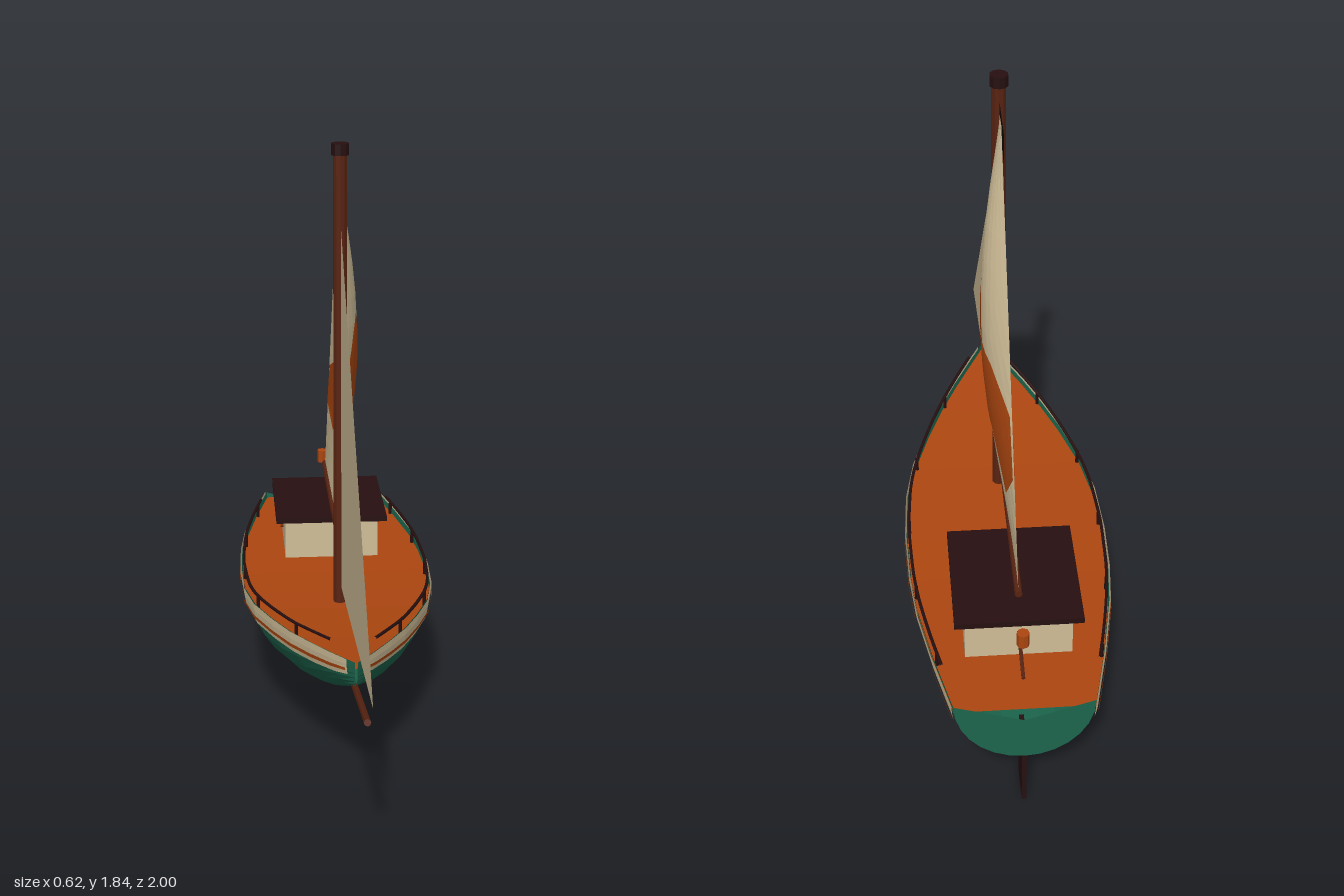
import * as THREE from 'three';

const mat = (name, color, both = false) => new THREE.MeshStandardMaterial({
  name, color, flatShading: true, side: both ? THREE.DoubleSide : THREE.FrontSide });

// Hull stations: z, half width, sheer height, keel height
const STATIONS = [
  [-1, 0.2, 0.395, 0.185], [-0.8, 0.247, 0.393, 0.17], [-0.6, 0.285, 0.392, 0.157],
  [-0.45, 0.3, 0.393, 0.152], [-0.28, 0.305, 0.396, 0.15], [-0.1, 0.296, 0.403, 0.156],
  [0.05, 0.268, 0.413, 0.172], [0.2, 0.217, 0.428, 0.21], [0.32, 0.168, 0.44, 0.257],
  [0.43, 0.114, 0.455, 0.313], [0.53, 0.06, 0.468, 0.362], [0.63, 0.004, 0.483, 0.408]];

// Straight-line interpolation through rows sorted by their first value
function sample(rows, a) {
  let i = 0;
  while (i < rows.length - 2 && a > rows[i + 1][0]) i++;
  const f = (a - rows[i][0]) / (rows[i + 1][0] - rows[i][0]);
  return rows[i].map((v, k) => v + (rows[i + 1][k] - v) * f);
}

// Half width of the hull a given depth below the sheer
function widthAt([, w, s, k], depth) {
  const c = Math.min(1, depth / (s - k));
  return w * Math.sqrt(1 - c * c);
}

// Surface from a rule: fn(i, j) gives a point [x, y, z]
function grid(nu, nv, fn) {
  const pos = [], idx = [];
  for (let i = 0; i <= nu; i++) for (let j = 0; j <= nv; j++) pos.push(...fn(i, j));
  for (let i = 0; i < nu; i++) for (let j = 0; j < nv; j++) {
    const a = i * (nv + 1) + j, b = a + nv + 1;
    idx.push(a, a + 1, b, b, a + 1, b + 1);
  }
  const g = new THREE.BufferGeometry();
  g.setAttribute('position', new THREE.Float32BufferAttribute(pos, 3));
  g.setIndex(idx);
  g.computeVertexNormals();
  return g;
}

export function createModel() {
  const root = new THREE.Group();
  root.name = 'sailboat';
  const green = mat('hull green', 0x1d664e, true);
  const cream = mat('canvas cream', 0xd0be98, true);
  const rust = mat('rust orange', 0xac4610, true);
  const wood = mat('mast brown', 0x582311);
  const dark = mat('dark wood', 0x260f10);
  const black = mat('pennant black', 0x0c0d12, true);

  const add = (name, geo, m, x = 0, y = 0, z = 0) => {
    const mesh = new THREE.Mesh(geo, m);
    mesh.name = name;
    mesh.position.set(x, y, z);
    root.add(mesh);
    return mesh;
  };
  // Round pole between two points
  const pole = (name, a, b, r, m, sides = 8) => {
    const from = new THREE.Vector3(...a), to = new THREE.Vector3(...b);
    const dir = to.clone().sub(from);
    const mesh = add(name, new THREE.CylinderGeometry(r, r, dir.length(), sides), m);
    mesh.position.copy(from).add(to).multiplyScalar(0.5);
    mesh.quaternion.setFromUnitVectors(new THREE.Vector3(0, 1, 0), dir.normalize());
    return mesh;
  };

  // Hull shell
  const last = STATIONS.length - 1;
  add('hull', grid(last, 14, (i, j) => {
    const [z, w, s, k] = STATIONS[i];
    const a = (j / 14 - 0.5) * Math.PI;
    return [w * Math.sin(a), s - (s - k) * Math.cos(a), z];
  }), green);

  // Transom with a dipped top edge
  const stern = new THREE.Shape();
  stern.moveTo(0, 0.33);
  for (let j = 0; j <= 14; j++) {
    const a = (j / 14 - 0.5) * Math.PI;
    stern.lineTo(0.2 * Math.sin(a), 0.395 - 0.21 * Math.cos(a));
  }
  add('transom', new THREE.ShapeGeometry(stern), green, 0, 0, -1);

  // Deck
  add('deck', grid(last, 1, (i, j) => {
    const st = STATIONS[i];
    return [(j * 2 - 1) * widthAt(st, 0.02), st[2] - 0.02, st[0]];
  }), rust);

  // Cream bulwark band, rust stripe and handrail on both sides
  for (const side of [1, -1]) {
    const name = side > 0 ? 'left' : 'right';
    const strip = (top, bottom, out) => grid(last, 3, (i, j) => {
      const st = sample(STATIONS, Math.min(STATIONS[i][0], 0.6));
      const d = (top + (bottom - top) * j / 3) * Math.min(1, (st[2] - st[3]) / 0.12);
      return [side * (widthAt(st, d) + out), st[2] - d, st[0]];
    });
    add(name + 'Band', strip(-0.002, 0.064, 0.005), cream);
    add(name + 'Stripe', strip(0.034, 0.046, 0.01), rust);

    const railAt = z => {
      const st = sample(STATIONS, z);
      return new THREE.Vector3(side * (st[1] - 0.008), st[2] + 0.025 + 0.02 * Math.max(0, z), z);
    };
    const pts = [];
    for (let i = 0; i <= 14; i++) pts.push(railAt(-0.86 + i * 1.37 / 14));
    add(name + 'Rail', new THREE.TubeGeometry(new THREE.CatmullRomCurve3(pts), 40, 0.005, 6), dark);
    for (const z of [0.33, 0.05, -0.24, -0.53, -0.81]) {
      const p = railAt(z);
      pole(name + 'RailPost', [p.x, p.y - 0.045, z], [p.x, p.y, z], 0.006, dark, 6);
    }
  }

  // Cabin
  add('cabin', new THREE.BoxGeometry(0.31, 0.14, 0.365), cream, 0, 0.433, -0.6025);
  add('cabinRoof', new THREE.BoxGeometry(0.37, 0.018, 0.4), dark, 0, 0.511, -0.605);
  for (const side of [1, -1]) {
    const port = add('porthole', new THREE.CylinderGeometry(0.026, 0.026, 0.014, 10), rust, side * 0.158, 0.442, -0.6);
    port.rotation.z = Math.PI / 2;
  }

  // Rudder, tiller and stern lantern
  add('rudder', new THREE.BoxGeometry(0.014, 0.23, 0.112), dark, 0, 0.115, -0.94);
  pole('tiller', [0, 0.462, -0.78], [0, 0.428, -0.935], 0.006, wood, 6);
  add('lantern', new THREE.CylinderGeometry(0.018, 0.018, 0.044, 8), rust, 0, 0.562, -0.915);

  // Spars
  pole('mast', [0, 0.37, -0.015], [0, 1.81, -0.015], 0.021, wood, 10);
  add('mastCap', new THREE.CylinderGeometry(0.027, 0.027, 0.034, 10), dark, 0, 1.818, -0.015);
  pole('boom', [0, 0.587, -0.03], [0, 0.587, -0.765], 0.011, wood);
  pole('bowsprit', [0, 0.385, 0.58], [0, 0.487, 0.998], 0.01, wood);

  // Mainsail bulging to the left
  const FOOT = 0.6, HEAD = 1.725, LUFF = -0.042;
  const leech = y => -0.755 + 0.645 * (y - FOOT) / (HEAD - FOOT);
  const belly = (y, z) => {
    const u = THREE.MathUtils.clamp((LUFF - z) / (LUFF - leech(y)), 0, 1);
    const v = THREE.MathUtils.clamp((y - FOOT) / (HEAD - FOOT), 0, 1);
    return 0.068 * Math.sin(Math.PI * u) * Math.sin(Math.PI * v);
  };
  add('mainsail', grid(12, 12, (i, j) => {
    const y = FOOT + (HEAD - FOOT) * i / 12;
    const z = LUFF + (leech(y) - LUFF) * j / 12;
    return [belly(y, z), y, z];
  }), cream);

  // Painted patch on both faces of the mainsail: distance aft, height
  const upper = [[0.045, 0.98], [0.08, 1.144], [0.094, 1.1], [0.147, 1.294], [0.22, 1.134],
    [0.367, 1.1], [0.507, 1.02], [0.598, 0.866]];
  const lower = [[0.045, 0.834], [0.115, 0.93], [0.142, 0.754], [0.27, 0.93],
    [0.394, 0.898], [0.55, 0.78], [0.598, 0.866]];
  const cuts = [...upper, ...lower, [0.18], [0.32], [0.45]].map(p => p[0])
    .sort((a, b) => a - b).filter((d, i, all) => i === 0 || d > all[i - 1]);
  for (const side of [1, -1]) {
    add('sailPatch', grid(cuts.length - 1, 6, (i, j) => {
      const d = cuts[i], lo = sample(lower, d)[1], hi = sample(upper, d)[1];
      const y = lo + (hi - lo) * j / 6;
      return [belly(y, -d) + side * 0.003, y, -d];
    }), rust);
  }

  // Jib
  const tack = [0.02, 0.495, 0.94], head = [0, 1.6, 0.015], clew = [0, 0.46, 0.045];
  add('jib', grid(1, 1, (i, j) => (i ? head : j ? clew : tack)), cream);

  // Pennant
  const flag = [[1.765, -0.03], [1.69, -0.03], [1.745, -0.21], [1.65, -0.21]];
  add('pennant', grid(1, 1, (i, j) => [0, ...flag[i * 2 + j]]), black);

  return root;
}
